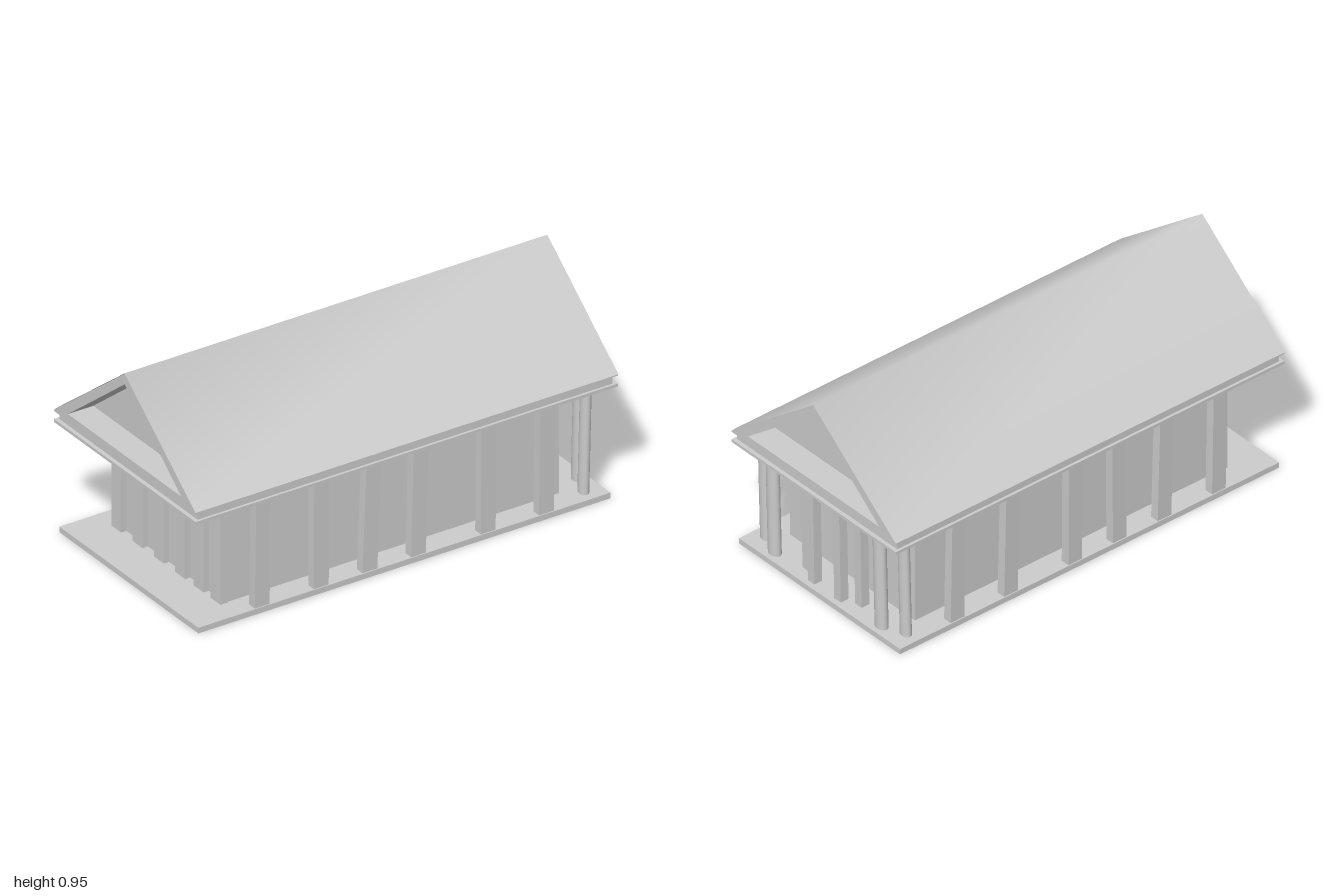
import * as THREE from 'three';

const material = new THREE.MeshStandardMaterial({ color: 0xcccccc });
const roofMaterial = new THREE.MeshStandardMaterial({ color: 0xcccccc, side: THREE.DoubleSide });

export function createModel() {
  const model = new THREE.Group();

  const add = (name, geometry, mat = material) => {
    const mesh = new THREE.Mesh(geometry, mat);
    mesh.name = name;
    model.add(mesh);
    return mesh;
  };

  // Axis-aligned block given by its limits
  const block = (name, x0, x1, y0, y1, z0, z1) => {
    const geometry = new THREE.BoxGeometry(x1 - x0, y1 - y0, z1 - z0);
    geometry.translate((x0 + x1) / 2, (y0 + y1) / 2, (z0 + z1) / 2);
    return add(name, geometry);
  };

  // Move the upper vertices of a geometry by a rule
  const shapeTop = (geometry, yMid, rule) => {
    const p = geometry.attributes.position;
    for (let i = 0; i < p.count; i++) {
      if (p.getY(i) > yMid) {
        const [x, z] = rule(p.getX(i), p.getZ(i));
        p.setX(i, x);
        p.setZ(i, z);
      }
    }
    geometry.computeVertexNormals();
  };

  // Floor slab and inner hall
  block('floor', -0.98, 0.97, 0, 0.025, -0.49, 0.49);
  block('hall', -0.78, 0.8, 0.025, 0.49, -0.38, 0.38);

  // Shallow pilasters on the closed end
  for (const z of [-0.35, -0.2, -0.05, 0.1, 0.23, 0.35]) {
    block('endPilaster', -0.805, -0.77, 0.025, 0.49, z - 0.035, z + 0.035);
  }

  // Rectangular columns along both long sides, leaning slightly outwards
  const sideX = [[-0.675, 0], [-0.395, -0.005], [-0.165, 0.012], [0.065, 0.005], [0.395, -0.003], [0.67, 0]];
  for (const side of [-1, 1]) {
    for (const [x, lean] of sideX) {
      const column = block('sideColumn', x - 0.035, x + 0.035, 0.025, 0.5, side * 0.465 - 0.02, side * 0.465 + 0.02);
      shapeTop(column.geometry, 0.3, (px, pz) => [px + lean, pz + side * 0.01]);
    }
  }

  // Porch columns: round outer pairs, slender square inner pairs
  for (const side of [-1, 1]) {
    for (const [x, z, r] of [[0.885, 0.425, 0.028], [0.925, 0.325, 0.032]]) {
      const geometry = new THREE.CylinderGeometry(r, r, 0.475, 16);
      geometry.scale(0.75, 1, 1);
      geometry.translate(x, 0.2625, side * z);
      const column = add('porchRoundColumn', geometry);
      const p = column.geometry.attributes.position;
      for (let i = 0; i < p.count; i++) {
        if (p.getY(i) > 0.3) p.setX(i, p.getX(i) + 0.012);
      }
    }
    for (const [x, z] of [[0.885, 0.16], [0.925, 0.08]]) {
      const column = block('porchSquareColumn', x - 0.02, x + 0.02, 0.025, 0.5, side * z - 0.02, side * z + 0.02);
      shapeTop(column.geometry, 0.3, (px, pz) => [px + 0.01, pz]);
    }
  }

  // Soffit that flares out to the edge of the entablature
  const soffit = block('soffit', -0.88, 0.88, 0.486, 0.5, -0.4, 0.4);
  shapeTop(soffit.geometry, 0.493, (x, z) => [Math.sign(x) * 0.995, Math.sign(z) * 0.495]);

  // Entablature with a set-back frieze
  block('entablature', -1, 1, 0.499, 0.512, -0.5, 0.5);
  block('frieze', -0.982, 0.982, 0.511, 0.551, -0.488, 0.488);

  // Gable solids: a framed triangle at each end and a plain core between
  const gable = (hollow) => {
    const shape = new THREE.Shape([
      [-0.5, 0.548], [0.5, 0.548], [0.5, 0.553], [0, 0.948], [-0.5, 0.553],
    ].map(([x, y]) => new THREE.Vector2(x, y)));
    if (hollow) {
      shape.holes.push(new THREE.Path([
        [-0.4, 0.58], [0, 0.9], [0.4, 0.58],
      ].map(([x, y]) => new THREE.Vector2(x, y))));
    }
    return shape;
  };
  const extrudeAlongX = (name, shape, x0, x1) => {
    const geometry = new THREE.ExtrudeGeometry(shape, { depth: x1 - x0, bevelEnabled: false });
    geometry.rotateY(Math.PI / 2);
    geometry.translate(x0, 0, 0);
    add(name, geometry);
  };
  extrudeAlongX('gableCore', gable(false), -0.88, 0.88);
  extrudeAlongX('rightGableFrame', gable(true), -1, -0.88);
  extrudeAlongX('leftGableFrame', gable(true), 0.88, 1);

  // Roof covering, shaded smoothly over the ridge
  const roof = new THREE.PlaneGeometry(2, 1, 1, 2);
  roof.rotateX(-Math.PI / 2);
  const rp = roof.attributes.position;
  for (let i = 0; i < rp.count; i++) {
    rp.setY(i, 0.95 - 0.79 * Math.abs(rp.getZ(i)));
  }
  roof.computeVertexNormals();
  add('roof', roof, roofMaterial);

  return model;
}
